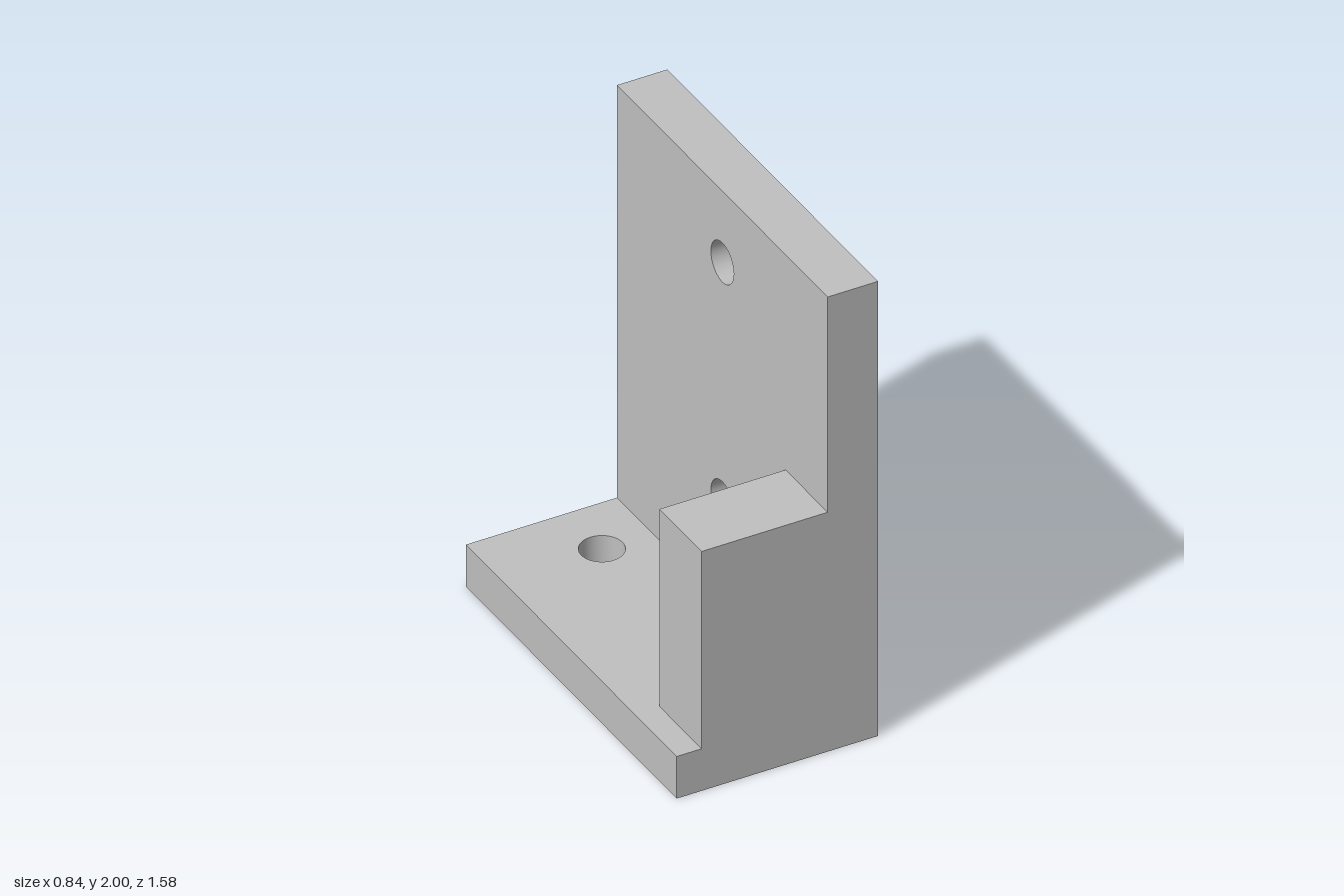
import * as THREE from 'three';
import { toCreasedNormals } from 'three/addons/utils/BufferGeometryUtils.js';

const HALF_X = 0.42, HALF_Z = 0.79, HEIGHT = 2;
const WALL_X = 0.21;       // inner face of the upright plate
const BASE_T = 0.185;      // base plate thickness
const HOLE_R = 0.086;

// Rectangular plate with round holes, extruded along +z
function drilledPlate(x0, y0, x1, y1, holes, depth) {
  const shape = new THREE.Shape([
    new THREE.Vector2(x0, y0), new THREE.Vector2(x1, y0),
    new THREE.Vector2(x1, y1), new THREE.Vector2(x0, y1),
  ]);
  for (const [x, y] of holes) {
    shape.holes.push(new THREE.Path().absarc(x, y, HOLE_R, 0, Math.PI * 2, true));
  }
  const geometry = new THREE.ExtrudeGeometry(shape, { depth, bevelEnabled: false, curveSegments: 24 });
  return toCreasedNormals(geometry, Math.PI / 6);
}

export function createModel() {
  const group = new THREE.Group();
  group.name = 'angleBracket';
  const grey = new THREE.MeshStandardMaterial({ color: 0xc0c0c0 });
  grey.name = 'grey';

  const add = (name, geometry) => {
    const mesh = new THREE.Mesh(geometry, grey);
    mesh.name = name;
    group.add(mesh);
    return mesh;
  };

  // Base plate with two vertical holes
  const base = drilledPlate(-HALF_X, -HALF_Z, WALL_X, HALF_Z, [[0, 0.526], [0, -0.526]], BASE_T);
  add('basePlate', base.rotateX(-Math.PI / 2));

  // Upright plate with two horizontal holes
  const wall = drilledPlate(-HALF_Z, 0, HALF_Z, HEIGHT, [[0, 0.635], [0, 1.686]], HALF_X - WALL_X);
  add('uprightPlate', wall.rotateY(Math.PI / 2).translate(WALL_X, 0, 0));

  // Block in the front corner, standing on the base and partly over its hole
  const x0 = -0.316, z0 = 0.474, top = 1.053;
  const block = add('cornerBlock', new THREE.BoxGeometry(WALL_X - x0, top - BASE_T, HALF_Z - z0));
  block.position.set((WALL_X + x0) / 2, (top + BASE_T) / 2, (HALF_Z + z0) / 2);

  return group;
}
